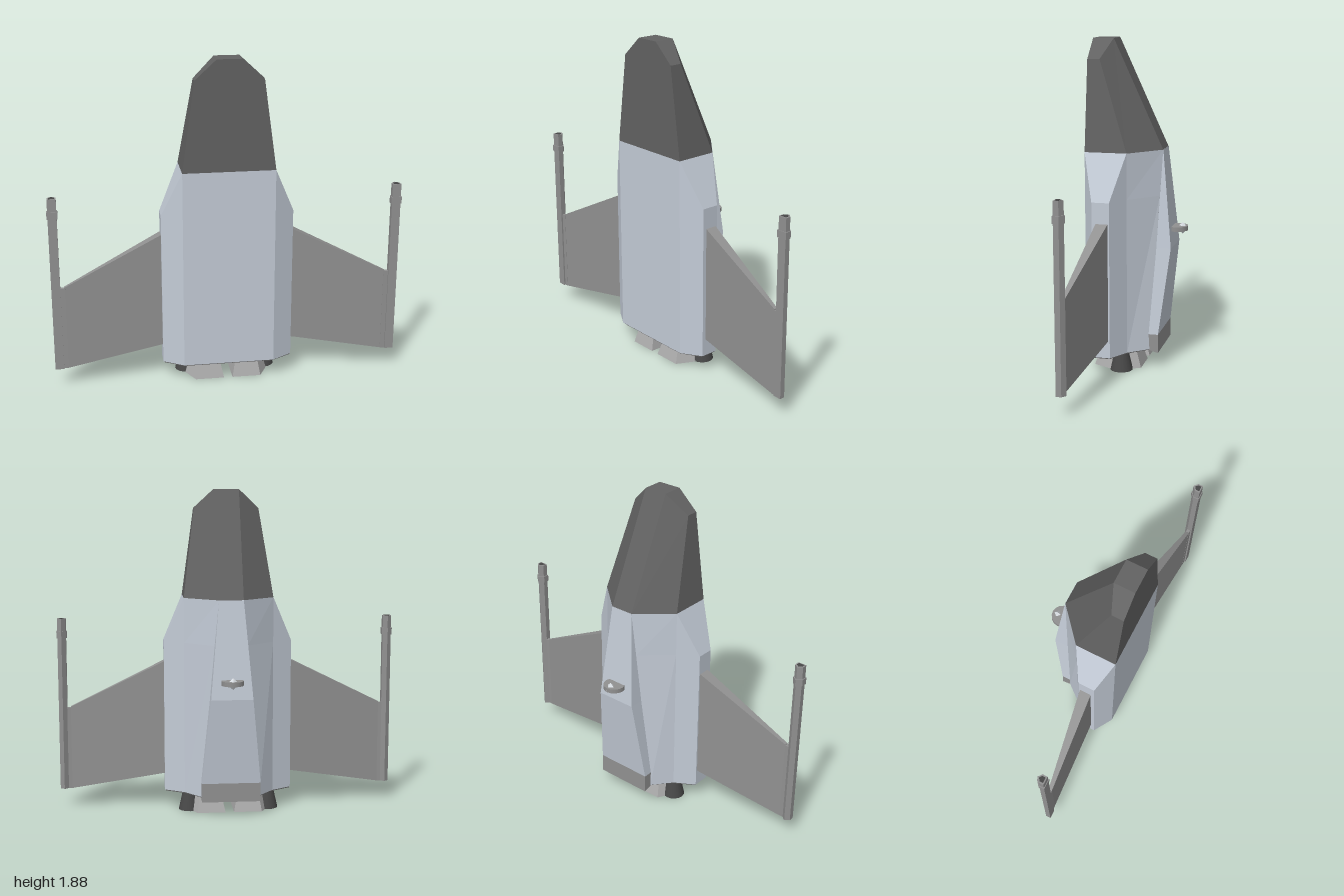
import * as THREE from 'three';

const mat = (name, color) => {
  const m = new THREE.MeshStandardMaterial({ color });
  m.name = name;
  return m;
};

// Skin a stack of rings [x, y, z] with flat faces and close both ends; side -1 mirrors in x
function loft(rings, side = 1) {
  const pts = rings.map((ring) => {
    const r = ring.map(([x, y, z]) => new THREE.Vector3(side * x, y, z));
    return side < 0 ? r.reverse() : r;
  });
  const pos = [];
  const tri = (a, b, c) => {
    const area = b.clone().sub(a).cross(c.clone().sub(a)).length();
    if (area > 1e-7) for (const p of [a, b, c]) pos.push(p.x, p.y, p.z);
  };
  const n = pts[0].length;
  for (let k = 0; k < pts.length - 1; k++) {
    for (let i = 0; i < n; i++) {
      const j = (i + 1) % n, a = pts[k], b = pts[k + 1];
      tri(a[i], a[j], b[j]);
      tri(a[i], b[j], b[i]);
    }
  }
  const first = pts[0], last = pts[pts.length - 1];
  for (let i = 1; i < n - 1; i++) {
    tri(first[0], first[i + 1], first[i]);
    tri(last[0], last[i], last[i + 1]);
  }
  const g = new THREE.BufferGeometry();
  g.setAttribute('position', new THREE.Float32BufferAttribute(pos, 3));
  g.computeVertexNormals();
  return g;
}

// Complete a half ring with its mirror image
const sym = (half) => [...half, ...half.map(([x, y, z]) => [-x, y, z]).reverse()];
// Flat ring at height y, scaled about a centre
const ringAt = (shape, y, cx, cz, s) => shape.map(([x, z]) => [cx + x * s, y, cz + z * s]);

export function createModel() {
  const hull = mat('pale blue grey hull', 0xc3cbd6);
  const dark = mat('dark grey', 0x626262);
  const grey = mat('mid grey', 0x919191);
  const light = mat('light grey', 0xaaaaaa);
  const soot = mat('engine black', 0x484848);
  const lens = mat('pale lens', 0xd8dde2);

  const group = new THREE.Group();
  const add = (name, geometry, material, x = 0, y = 0, z = 0) => {
    const m = new THREE.Mesh(geometry, material);
    m.name = name;
    m.position.set(x, y, z);
    group.add(m);
    return m;
  };

  // Fuselage: wide chamfered body narrowing at the shoulders
  add('fuselage', loft([
    sym([[0.26, 0.11, 0.27], [0.375, 0.11, 0.2], [0.375, 0.11, 0.1], [0.26, 0.11, 0.03], [0.17, 0.11, -0.08]]),
    sym([[0.26, 1.0, 0.27], [0.375, 1.0, 0.2], [0.375, 1.0, 0.1], [0.26, 1.0, 0.03], [0.095, 1.0, -0.122]]),
    sym([[0.26, 1.26, 0.27], [0.26, 1.26, 0.27], [0.26, 1.26, 0.03], [0.26, 1.26, 0.03], [0.07, 1.26, -0.135]]),
  ]), hull);

  // Dark plate under the fuselage
  add('tailPlate', loft([0.104, 0.11].map((y) => sym([
    [0.255, y, 0.265], [0.37, y, 0.2], [0.37, y, 0.1], [0.255, y, 0.03], [0.165, y, -0.075]]))), dark);

  // Faceted nose with a blunt end
  add('nose', loft([
    sym([[0.26, 1.26, 0.27], [0.26, 1.26, 0.03], [0.07, 1.26, -0.135]]),
    sym([[0.19, 1.77, 0.27], [0.19, 1.77, 0.2], [0.07, 1.88, 0.15]]),
    sym([[0.07, 1.88, 0.27], [0.07, 1.88, 0.15], [0.07, 1.88, 0.15]]),
  ]), dark);

  // Raised spine on the back and its tail block
  add('spine', loft([
    sym([[0.17, 0.2, -0.07], [0.17, 0.2, -0.13]]),
    sym([[0.12, 0.7, -0.1], [0.12, 0.7, -0.192]]),
    sym([[0.07, 1.26, -0.13], [0.07, 1.26, -0.136]]),
  ]), hull);
  add('spineTail', loft([
    sym([[0.17, 0.108, -0.07], [0.17, 0.09, -0.13]]),
    sym([[0.17, 0.2, -0.07], [0.17, 0.2, -0.13]]),
  ]), grey);

  // Sensor disc with a pointed lens
  add('sensorDisc', new THREE.CylinderGeometry(0.063, 0.063, 0.026, 16), grey, 0, 0.8, -0.205);
  add('sensorLens', new THREE.OctahedronGeometry(0.034), lens, 0, 0.8, -0.236);

  const gunShape = [[0.025, 0.02], [0.025, -0.01], [0, -0.03], [-0.025, -0.01], [-0.025, 0.02]];
  const nozzleShape = [[-0.095, 0.14], [0.07, 0.14], [0.12, 0.04], [0.12, -0.04], [0.07, -0.135], [-0.095, -0.135]];

  for (const side of [1, -1]) {
    const s = side > 0 ? 'left' : 'right';
    // Swept wing, thick at the root and thin at the tip
    const wingRing = (x, y0, y1, z0, z1) => [[x, y0, z0], [x, y1, z0], [x, y1, z1], [x, y0, z1]];
    add(s + 'Wing', loft([
      wingRing(0.36, 0.212, 0.888, 0.107, 0.177),
      wingRing(0.925, 0.11, 0.605, 0.184, 0.205),
    ], side), grey);
    add(s + 'WingTip', new THREE.BoxGeometry(0.03, 0.49, 0.022), grey, side * 0.933, 0.355, 0.195);

    // Wingtip gun: long ridged barrel with a collar
    const gunPart = (y0, y1, k) => loft([y0, y1].map((y) => ringAt(gunShape, y, 0.97, 0.195, k)), side);
    add(s + 'GunBarrel', gunPart(0.11, 1.13, 1), grey);
    add(s + 'GunCollar', gunPart(1.015, 1.055, 1.2), grey);
    add(s + 'GunMuzzle', gunPart(1.128, 1.132, 0.65), soot);

    // Hollow angular nozzle
    add(s + 'Nozzle', loft([
      ringAt(nozzleShape, 0.09, 0.12, 0.1, 0.55),
      ringAt(nozzleShape, 0, 0.12, 0.1, 0.8),
      ringAt(nozzleShape, 0, 0.12, 0.1, 1),
      ringAt(nozzleShape, 0.11, 0.12, 0.1, 0.75),
    ], side), light);

    // Round outer thruster
    add(s + 'Thruster', new THREE.CylinderGeometry(0.04, 0.065, 0.11, 16), soot, side * 0.23, 0.055, 0.07);
  }
  return group;
}
